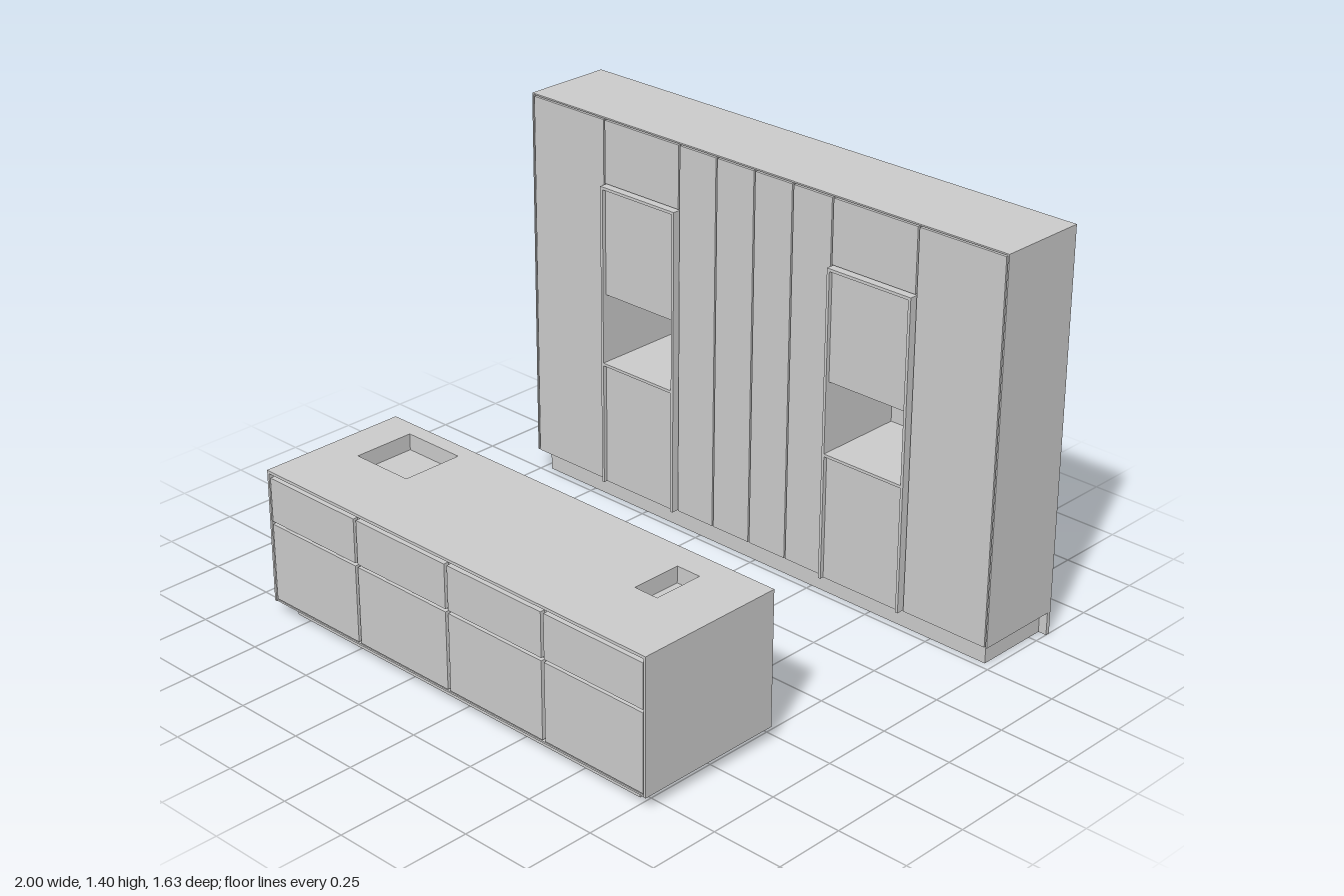
import * as THREE from 'three';

const material = new THREE.MeshStandardMaterial({ color: 0xcccccc, flatShading: true });

// Box given by its limits on each axis
function box(parent, name, [x0, x1], [y0, y1], [z0, z1]) {
  const mesh = new THREE.Mesh(new THREE.BoxGeometry(x1 - x0, y1 - y0, z1 - z0), material);
  mesh.position.set((x0 + x1) / 2, (y0 + y1) / 2, (z0 + z1) / 2);
  mesh.name = name;
  parent.add(mesh);
  return mesh;
}

function outline(target, [x0, x1], [y0, y1]) {
  target.moveTo(x0, y0);
  target.lineTo(x1, y0);
  target.lineTo(x1, y1);
  target.lineTo(x0, y1);
  target.closePath();
  return target;
}

// Rectangular slab with rectangular openings, extruded along +z
function slab(xr, yr, holes, depth) {
  const shape = outline(new THREE.Shape(), xr, yr);
  holes.forEach(([hx, hy]) => shape.holes.push(outline(new THREE.Path(), hx, hy)));
  return new THREE.ExtrudeGeometry(shape, { depth, bevelEnabled: false });
}

function buildTallWall() {
  const wall = new THREE.Group();
  wall.name = 'tallCabinetWall';
  const back = -0.815, inner = -0.8, face = -0.505, front = -0.49;
  const y0 = 0.08, top = 1.405, g = 0.003;
  const columns = [[-0.663, -0.325], [0.323, 0.661]];
  const niche = [0.532, 0.78];

  // Carcase with two deep niches, closed by the back panel
  const holes = columns.map(([a, b]) => [[a + 0.012, b - 0.012], niche]);
  const carcase = new THREE.Mesh(slab([-0.995, 0.995], [y0, top - 0.005], holes, face - inner), material);
  carcase.position.z = inner;
  carcase.name = 'tallCarcase';
  wall.add(carcase);
  box(wall, 'backPanel', [-1, 1], [0, top], [back, inner]);
  box(wall, 'topPanel', [-1, 1], [top - 0.005, top], [inner, front]);
  for (const s of [-1, 1]) {
    const edges = [s * 0.995, s].sort((a, b) => a - b);
    box(wall, 'endPanel', edges, [y0, top - 0.005], [inner, front]);
  }

  // Tall doors separated by narrow gaps
  const doors = [[-0.993, -0.663], [-0.325, -0.162], [-0.162, 0], [0, 0.16], [0.16, 0.323], [0.661, 0.993]];
  for (const [a, b] of doors) box(wall, 'tallDoor', [a + g, b - g], [y0, top - 0.01], [face, front]);

  // Appliance columns: upper door, raised frame, panel, niche and lower door
  for (const [a, b] of columns) {
    const col = new THREE.Group();
    col.name = 'applianceColumn';
    const rim = -0.468, panel = -0.482, l = a + 0.002, r = b - 0.002, t = 0.01;
    box(col, 'upperDoor', [a + g, b - g], [1.174, top - 0.01], [face, front]);
    box(col, 'frameStile', [l, l + t], [y0, 1.17], [face, rim]);
    box(col, 'frameStile', [r - t, r], [y0, 1.17], [face, rim]);
    box(col, 'frameTop', [l + t, r - t], [1.16, 1.17], [face, rim]);
    box(col, 'nicheShelf', [l + t, r - t], [0.522, 0.532], [face, rim]);
    box(col, 'appliancePanel', [l + t, r - t], [niche[1], 1.16], [face, panel]);
    box(col, 'lowerDoor', [l + t, r - t], [y0, 0.517], [face, panel]);
    wall.add(col);
  }

  // Hollow plinth of three boards
  box(wall, 'plinthFront', [-0.97, 0.97], [0, y0], [-0.535, -0.525]);
  box(wall, 'plinthSide', [-0.97, -0.96], [0, y0], [inner, -0.535]);
  box(wall, 'plinthSide', [0.96, 0.97], [0, y0], [inner, -0.535]);
  return wall;
}

function buildIsland() {
  const island = new THREE.Group();
  island.name = 'island';
  const xr = [-0.87, 0.79], zr = [0.275, 0.815], top = 0.517, bottom = 0.047, basin = 0.46;
  const sinks = [[[-0.74, -0.51], [0.33, 0.55]], [[0.49, 0.58], [0.37, 0.55]]];

  // Worktop and the carcase layer below it, both cut for the sinks
  const layer = (name, x, z, y, h) => {
    const mesh = new THREE.Mesh(slab(x, z, sinks, h).rotateX(Math.PI / 2), material);
    mesh.position.y = y;
    mesh.name = name;
    island.add(mesh);
  };
  layer('worktop', xr, zr, top, 0.01);
  layer('sinkSurround', [-0.86, 0.78], [0.295, 0.795], top - 0.01, top - 0.01 - basin);
  for (const [x, z] of sinks) box(island, 'sinkLedge', x, [basin, 0.485], [z[1] - 0.02, z[1]]);

  box(island, 'islandCarcase', [-0.86, 0.78], [bottom, basin], [0.295, 0.795]);
  box(island, 'islandBase', [-0.862, 0.782], [bottom, 0.053], [0.278, 0.812]);
  box(island, 'islandEnd', [-0.87, -0.862], [bottom, top - 0.01], zr);
  box(island, 'islandEnd', [0.782, 0.79], [bottom, top - 0.01], zr);
  box(island, 'islandPlinth', [-0.81, 0.725], [0, bottom], [0.325, 0.77]);

  // Drawer fronts on both long sides
  const rows = [[0.057, 0.328], [0.338, 0.492]];
  const sides = [
    { z: [0.795, 0.813], xs: [-0.864, -0.455, -0.043, 0.37, 0.784] },
    { z: [0.277, 0.295], xs: [-0.864, -0.37, -0.04, 0.29, 0.784] },
  ];
  for (const { z, xs } of sides)
    for (let i = 0; i < 4; i++)
      for (const y of rows) box(island, 'drawerFront', [xs[i] + 0.006, xs[i + 1] - 0.006], y, z);
  return island;
}

export function createModel() {
  const model = new THREE.Group();
  model.name = 'kitchen';
  model.add(buildTallWall(), buildIsland());
  return model;
}
